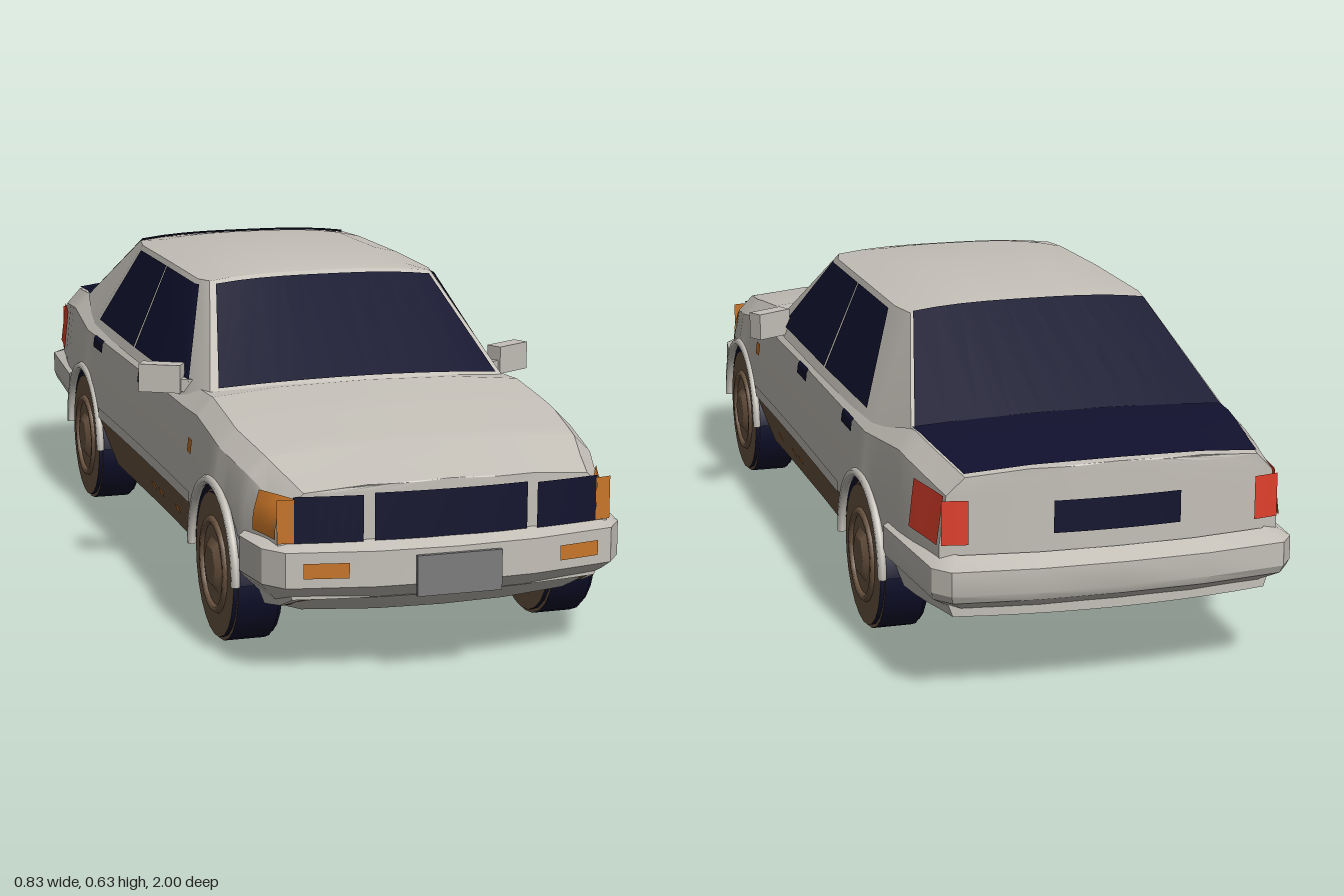
import * as THREE from 'three';
import { toCreasedNormals } from 'three/addons/utils/BufferGeometryUtils.js';

const mat = (name, color) => new THREE.MeshStandardMaterial({ name, color, side: THREE.DoubleSide });
const paint = mat('light grey paint', 0xc4c0b8);
const dark = mat('dark navy', 0x11112e);
const brown = mat('brown', 0x6e5743);
const orange = mat('orange', 0xc87528);
const red = mat('red', 0xe0402c);
const grey = mat('mid grey', 0x7c7c7c);

// piecewise linear lookup in rows of [key, a, b, ...] sorted by rising key
function look(rows, t) {
  let i = 0;
  while (i < rows.length - 2 && t > rows[i + 1][0]) i++;
  const a = rows[i], b = rows[i + 1];
  const k = THREE.MathUtils.clamp((t - a[0]) / (b[0] - a[0]), 0, 1);
  return a.slice(1).map((v, j) => v + (b[j + 1] - v) * k);
}
const range = (a, b, n) => Array.from({ length: n + 1 }, (_, i) => a + (b - a) * i / n);
const mix = (a, b, k) => a.map((v, i) => v + (b[i] - v) * k);

// surface mesh over a grid of parameters
function grid(name, material, us, vs, f, flip = false) {
  const pos = [], idx = [], n = us.length;
  for (const v of vs) for (const u of us) pos.push(...f(u, v));
  for (let j = 0; j < vs.length - 1; j++) for (let i = 0; i < n - 1; i++) {
    const a = j * n + i, b = a + 1, c = b + n, d = a + n;
    idx.push(...(flip ? [a, c, b, a, d, c] : [a, b, c, a, c, d]));
  }
  const g = new THREE.BufferGeometry();
  g.setAttribute('position', new THREE.Float32BufferAttribute(pos, 3));
  g.setIndex(idx);
  const mesh = new THREE.Mesh(toCreasedNormals(g, 0.45), material);
  mesh.name = name;
  return mesh;
}

// body outline along z
const END = 0.955, ARCH = 0.16, AXLE_Y = 0.145, AXLES = [0.64, -0.5];
const WIDTH = [[-END, .322], [-.75, .345], [-.5, .362], [0, .356], [.4, .356], [.65, .362], [.8, .345], [END, .315]];
const TOP = [[-END, .425], [-.7, .452], [-.5, .435], [.4, .435], [.47, .44], [.6, .425], [.8, .395], [END, .357]];
const BASE = [[-END, .155], [-.66, .13], [-.6, .11], [.85, .11], [END, .15]];
const width = z => look(WIDTH, z)[0];
const base = z => look(BASE, z)[0];
const inArch = z => AXLES.some(c => Math.abs(z - c) < ARCH + 1e-4);
function bottom(z) {
  let y = base(z);
  for (const c of AXLES) {
    const d = Math.abs(z - c);
    if (d < ARCH + 1e-4) y = Math.max(y, AXLE_Y + Math.sqrt(Math.max(0, ARCH * ARCH - d * d)));
  }
  return y;
}
// nose and tail are bowed in plan
const bow = (x, z) => z - Math.sign(z) * 0.35 * x * x * THREE.MathUtils.smoothstep(Math.abs(z), 0.75, END);

// half cross-section from sill to centre line
function section(z) {
  const w = width(z), t = look(TOP, z)[0], b = bottom(z);
  const tuck = 0.04 * THREE.MathUtils.clamp(1 - (b - .11) / .11, 0, 1);
  return [[w - tuck, b], [w, Math.max(b, .22)], [w, Math.max(b, .29)], [w - .012, t - .045],
    [w - .045, t - .012], [w * .5, t], [0, t + .004]];
}
const sideX = (y, z) => look(section(z).slice(0, 5).map(([x, h]) => [h, x]), y)[0];

const stations = [...range(-END, END, 26), .47, -.7];
for (const c of AXLES) for (const k of [-.161, .161, ...range(-ARCH, ARCH, 12)]) stations.push(c + k);
stations.sort((a, b) => a - b);

// roof rows: z, half width, edge height, middle height
const ROOF = [[-.43, .24, .6, .612], [-.36, .252, .6, .622], [-.1, .253, .602, .627], [.12, .25, .6, .622], [.165, .237, .602, .614]];
function roofPoint(t, z) {
  const [w, e, m] = look(ROOF, z);
  return [w * t, m - (m - e) * Math.abs(t) ** 3, z];
}
const windscreen = (u, v) => mix([.305 * u, .44 - .02 * u * u, .47 - .05 * u * u], roofPoint(u, .165), v);
const backlight = (u, v) => mix([.308 * u, .455 - .015 * u * u, -.7 + .02 * u * u], roofPoint(u, -.43), v);
const SIDE_LOW = [[0, .305, .42, .42], [.25, .336, .4, .3], [.5, .339, .4, -.1], [.75, .337, .4, -.5], [1, .308, .44, -.68]];
const SIDE_TOP = [.165, .12, -.1, -.36, -.43].map((z, i) => [i / 4, ...roofPoint(1, z)]);
const sideWall = (u, v) => mix(look(SIDE_LOW, u), look(SIDE_TOP, u), v);

// bumper plan paths (half), from centre to side: x, z
const FRONT_PATH = [[0, .993], [.15, .985], [.31, .953], [.342, .91], [.356, .81]];
const REAR_PATH = [[0, -1], [.16, -.995], [.315, -.975], [.342, -.94], [.36, -.67]];
// bumper profiles: height, inset
const FRONT_PROFILE = [[.112, .065], [.165, .012], [.18, 0], [.245, 0], [.262, .035]];
const REAR_PROFILE = [[.15, .06], [.195, .005], [.21, 0], [.255, 0], [.272, .03]];

function bumper(name, path, profile) {
  const dir = Math.sign(path[0][1]);
  const full = [...path.slice(1).reverse().map(([x, z]) => [-x, z]), ...path];
  return grid(name, paint, full, profile, ([x, z], [y, d]) =>
    [x * (1 - d / .36), y, z - dir * d * 1.4 * THREE.MathUtils.smoothstep(Math.abs(z), .66, .95)], dir < 0);
}

export function createModel() {
  const car = new THREE.Group();
  car.name = 'car';
  const add = (...m) => car.add(...m);
  const box = (name, material, size, at, ry = 0) => {
    const m = new THREE.Mesh(new THREE.BoxGeometry(...size), material);
    m.name = name; m.position.set(...at); m.rotation.y = ry;
    add(m);
  };

  // body shell and lower side strips
  const across = [...range(1, 6, 5), ...range(7, 11, 4)];
  add(grid('bodyShell', paint, across, stations, (i, z) => {
    const [x, y] = section(z)[i > 6 ? 12 - i : i];
    return [i > 6 ? -x : x, y, bow(x, z)];
  }));
  for (const s of [1, -1]) {
    for (const [name, m, a, b] of [['rearSkirt', paint, -END, -.5], ['sill', brown, -.5, .64], ['frontSkirt', paint, .64, END]])
      add(grid(name, m, [0, 1], stations.filter(z => z > a - 1e-6 && z < b + 1e-6), (i, z) => {
        const [x, y] = section(z)[i];
        return [s * x, y, bow(x, z)];
      }, s < 0));
  }
  for (const s of [1, -1])
    add(grid(s > 0 ? 'nosePanel' : 'tailPanel', paint, range(-1, 1, 10), range(0, 6, 6), (u, j) => {
      const [x, y] = section(s * END)[j];
      return [x * u, y, bow(x * u, s * END)];
    }, s < 0));
  add(grid('floor', brown, [-1, 1], stations, (u, z) => {
    const x = inArch(z) ? .24 : width(z) - .04;
    return [u * x, base(z), bow(x, z)];
  }));

  // cabin
  const U = range(-1, 1, 10);
  add(grid('roof', paint, U, ROOF.map(r => r[0]), roofPoint));
  add(grid('windscreenFrame', paint, U, [0, 1], windscreen));
  add(grid('rearWindowFrame', paint, U, [0, 1], backlight, true));
  add(grid('windscreen', dark, range(-.95, .95, 10), [.04, .95], (u, v) => {
    const [x, y, z] = windscreen(u, v);
    return [x, y + .004, z + .004];
  }));
  add(grid('rearWindow', dark, range(-.98, .98, 10), [0, 1], (u, v) => {
    const [x, y, z] = backlight(u, v);
    return [x, y + .004, z - .003];
  }, true));
  add(grid('bootLid', dark, [4, 5, 6, 7, 8], range(-.95, -.67, 5), (i, z) => {
    const [x, y] = section(z)[i > 6 ? 12 - i : i];
    return [i > 6 ? -x : x, y + .005, bow(x, z)];
  }));

  // painted plates on nose, tail and flanks
  const endPlate = (name, m, s, x0, x1, y0, y1) => add(grid(name, m, range(x0, x1, 6), [y0, y1],
    (x, y) => [x, y, bow(x, s * END) + s * .005], s < 0));
  const sidePlate = (name, m, s, z0, z1, y0, y1) => add(grid(name, m, range(y0, y1, 4), range(z0, z1, 4), (y, z) => {
    const x = sideX(y, z);
    return [s * (x + .005), y, bow(x, z)];
  }, s < 0));
  endPlate('grille', dark, 1, -.145, .145, .25, .343);
  endPlate('rearPlateRecess', dark, -1, -.12, .12, .305, .365);

  for (const s of [1, -1]) {
    const span = (a, b) => s > 0 ? [a, b] : [-b, -a];
    add(grid('cabinSide', paint, [0, .25, .5, .75, 1], [0, 1], sideWall0(s), s > 0 ? false : true));
    for (const [name, a, b] of [['frontSideWindow', .17, .497], ['rearSideWindow', .503, .725]])
      add(grid(name, dark, [a, a < .25 ? .25 : .6, b], [.1, .95], (u, v) => {
        const [x, y, z] = sideWall(u, v);
        return [s * (x + .004), y + .002, z];
      }, s < 0));

    endPlate('headlight', dark, 1, ...span(.165, .29), .255, .34);
    endPlate('frontIndicator', orange, 1, ...span(.288, .318), .255, .335);
    sidePlate('frontIndicatorSide', orange, s, .86, END, .262, .335);
    endPlate('tailLight', red, -1, ...span(.272, .32), .29, .372);
    sidePlate('tailLightSide', red, s, -END, -.8, .29, .38);
    sidePlate('fenderRepeater', orange, s, .445, .475, .32, .347);
    for (const z of [.3, .165, .1]) sidePlate('sillMarker', orange, s, z - .016, z + .016, .16, .176);
    for (const z of [.04, -.37]) sidePlate('doorHandle', dark, s, z - .042, z + .042, .368, .394);
    sidePlate('sideMoulding', paint, s, -.33, .47, .222, .245);
    add(grid('bumperIndicator', orange, span(.2, .28), [.198, .226],
      (x, y) => [x, y, look(FRONT_PATH, Math.abs(x))[0] + .004]));

    // door mirrors
    box('mirror', paint, [.085, .056, .035], [s * .367, .433, .278], s * .5);
    box('mirrorStalk', paint, [.05, .025, .025], [s * .325, .42, .3], s * .5);

    // wheels, arch lips and wells
    for (const z of AXLES) {
      const wheel = new THREE.Group();
      wheel.name = 'wheel';
      wheel.position.set(s * .31, AXLE_Y, z);
      wheel.rotation.z = -s * Math.PI / 2;
      const part = (name, g, m, y, rx = 0) => {
        const p = new THREE.Mesh(g, m);
        p.name = name; p.position.y = y; p.rotation.x = rx;
        wheel.add(p);
      };
      part('tyre', new THREE.CylinderGeometry(.137, .137, .094, 24), [dark, brown, brown], 0);
      part('tread', new THREE.CylinderGeometry(.144, .144, .078, 24), [dark, brown, brown], 0);
      part('rimRing', new THREE.TorusGeometry(.085, .008, 6, 20), brown, .047, Math.PI / 2);
      part('hubCap', new THREE.CylinderGeometry(.04, .058, .012, 6), brown, .051);
      add(wheel);

      const lip = new THREE.Mesh(new THREE.TorusGeometry(ARCH, .009, 6, 18, Math.PI), paint);
      lip.name = 'archLip';
      lip.position.set(s * .36, AXLE_Y, z);
      lip.rotation.y = Math.PI / 2;
      add(lip);
      add(grid('wheelWell', dark, range(0, Math.PI, 14), [.24, .355], (a, x) =>
        [s * x, AXLE_Y + ARCH * Math.sin(a), z + ARCH * Math.cos(a)], s < 0));
      const wall = new THREE.Mesh(new THREE.CircleGeometry(ARCH, 18, 0, Math.PI), dark);
      wall.name = 'wheelWellWall';
      wall.position.set(s * .24, AXLE_Y, z);
      wall.rotation.y = s * Math.PI / 2;
      add(wall);
    }
  }

  // bumpers and front plate
  add(bumper('frontBumper', FRONT_PATH, FRONT_PROFILE), bumper('rearBumper', REAR_PATH, REAR_PROFILE));
  box('frontPlate', grey, [.16, .075, .008], [0, .197, .996]);
  return car;
}

// cabin side surface for one side of the car
function sideWall0(s) {
  return (u, v) => {
    const [x, y, z] = sideWall(u, v);
    return [s * x, y, z];
  };
}
